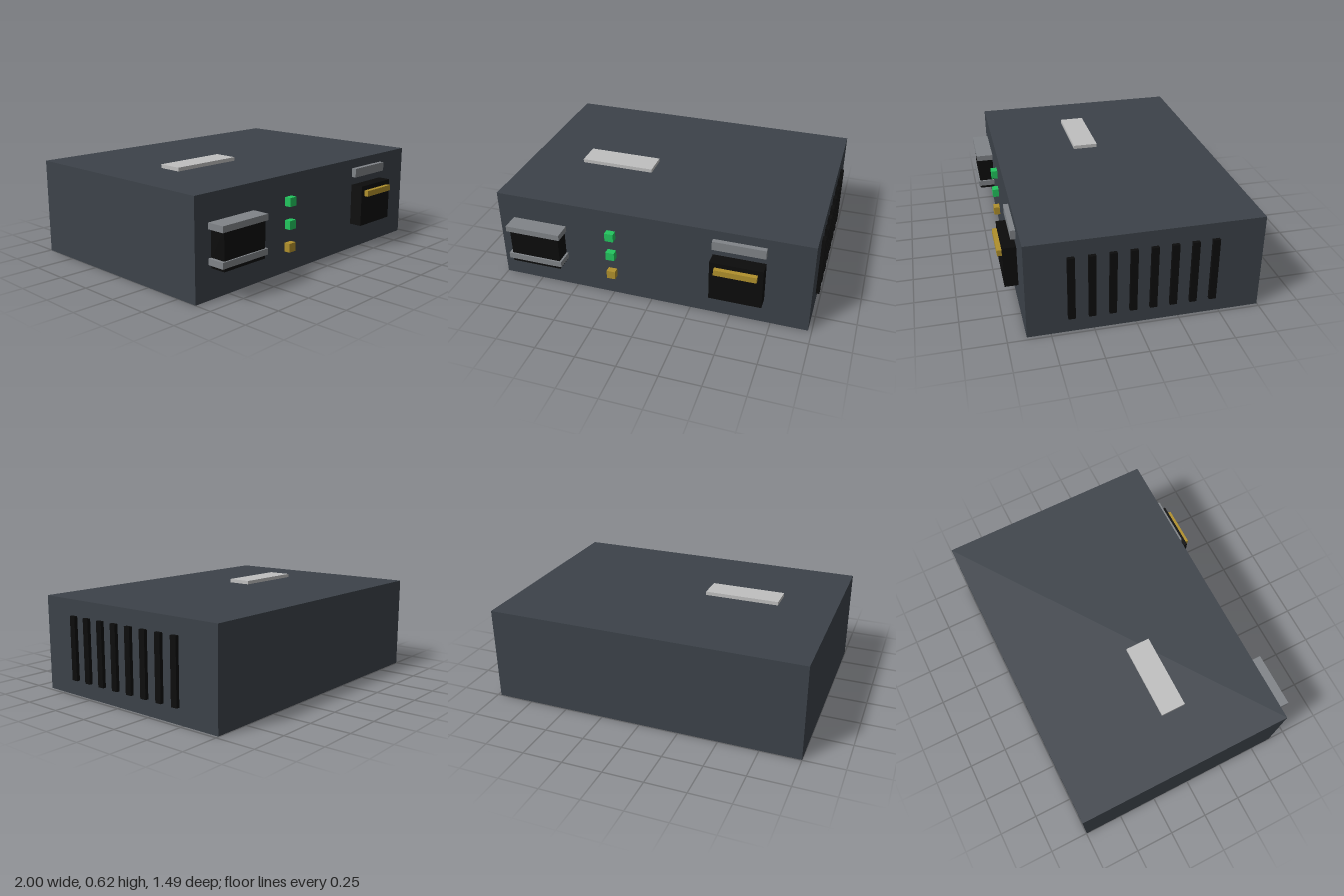
import * as THREE from 'three';

const paint = (name, color) => {
  const m = new THREE.MeshStandardMaterial({ color });
  m.name = name;
  return m;
};

export function createModel() {
  const charcoal = paint('charcoal', 0x3c4249);
  const black = paint('black', 0x0c0c0c);
  const steel = paint('steel', 0x808488);
  const silver = paint('silver', 0xbfbfbf);
  const green = paint('green', 0x22c55e);
  const gold = paint('gold', 0xb0902c);

  const model = new THREE.Group();
  model.name = 'networkBox';

  // Box given by its extents on each axis
  const block = (name, material, [x0, x1], [y0, y1], [z0, z1], parent = model) => {
    const mesh = new THREE.Mesh(new THREE.BoxGeometry(x1 - x0, y1 - y0, z1 - z0), material);
    mesh.position.set((x0 + x1) / 2, (y0 + y1) / 2, (z0 + z1) / 2);
    mesh.name = name;
    parent.add(mesh);
  };
  const group = (name) => {
    const g = new THREE.Group();
    g.name = name;
    model.add(g);
    return g;
  };

  const front = 0.638, top = 0.597, side = 0.978;
  const inset = 0.02; // how far fittings sink into the case

  block('case', charcoal, [-1, side], [0, top], [-0.747, front]);
  block('topLabel', silver, [-0.645, -0.17], [top - inset, 0.62], [-0.036, 0.12]);

  // Double port with steel shield plates
  const port = group('shieldedPort');
  block('portBody', black, [-0.882, -0.562], [0.18, 0.42], [front - inset, 0.737], port);
  for (const y of [0.202, 0.4])
    block('shieldPlate', steel, [-0.902, -0.549], [y, y + 0.037], [front - inset, 0.747], port);

  // Network socket with contact strip and latch bar above
  const socket = group('networkSocket');
  block('socketBody', black, [0.384, 0.703], [0.169, 0.43], [front - inset, 0.719], socket);
  block('contactStrip', gold, [0.415, 0.671], [0.363, 0.4], [0.7, 0.747], socket);
  block('latchBar', steel, [0.384, 0.703], [0.482, 0.539], [front - inset, 0.668], socket);

  // Status lights
  const lights = group('statusLights');
  [green, green, gold].forEach((material, i) => {
    const y = 0.438 - i * 0.139;
    block('statusLight', material, [-0.279, -0.224], [y - 0.027, y + 0.027], [front - inset, 0.678], lights);
  });

  // Cooling vents along the left side
  const vents = group('vents');
  for (let i = 0; i < 8; i++) {
    const z = 0.381 - i * 0.1189;
    block('ventSlot', black, [side - inset, 1], [0.099, 0.498], [z - 0.021, z + 0.021], vents);
  }

  return model;
}
